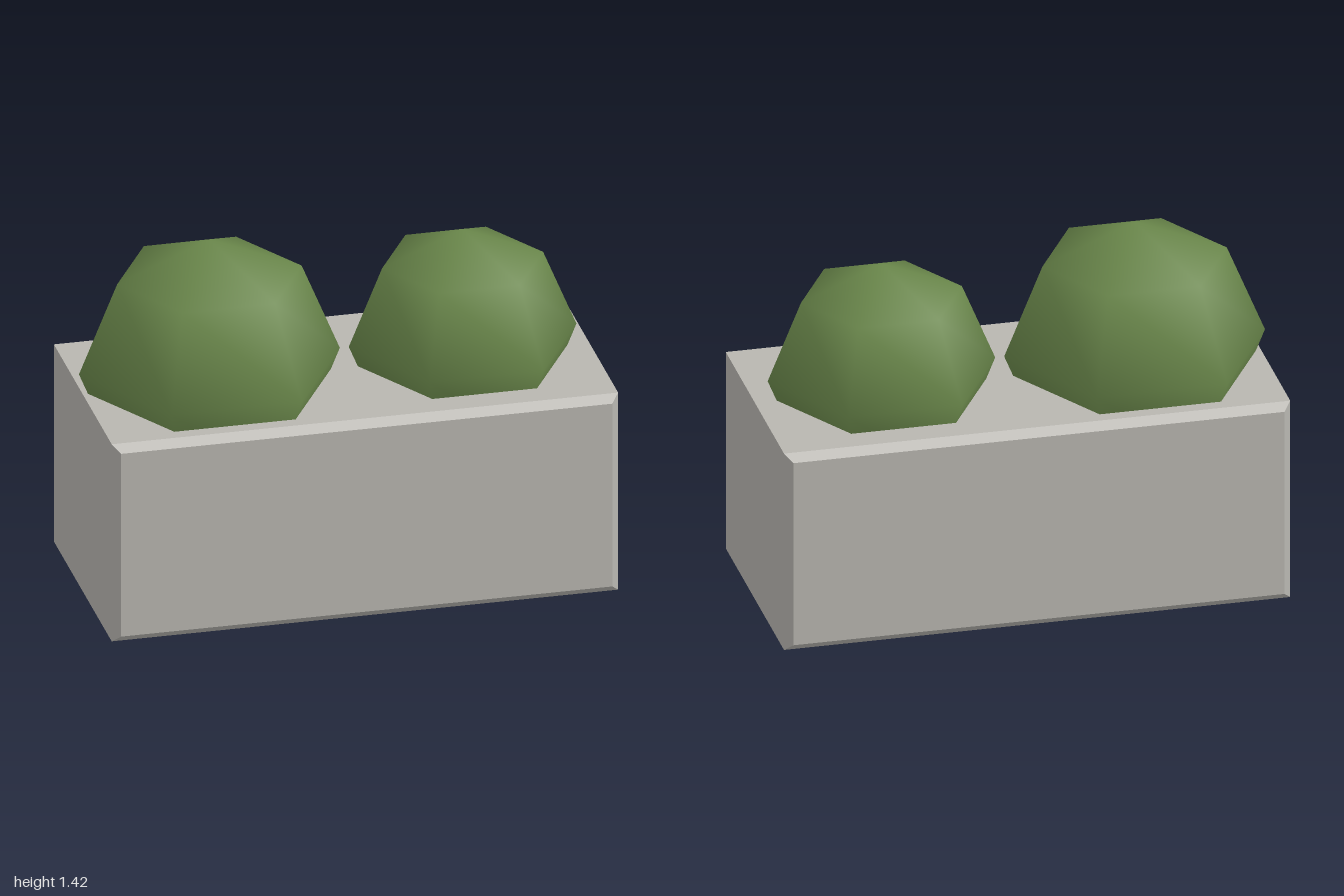
import * as THREE from 'three';

export function createModel() {
  const model = new THREE.Group();
  model.name = 'planter';

  const stone = new THREE.MeshStandardMaterial({ color: 0xb8b6b0 });
  stone.name = 'stone';
  const leaf = new THREE.MeshStandardMaterial({ color: 0x69864a });
  leaf.name = 'leaf';

  // Planter block: rectangle extruded along z, chamfered round the front and back
  const width = 1.98, height = 0.825, depth = 0.99, bevel = 0.03;
  const w = width / 2 - bevel;
  const outline = new THREE.Shape([
    new THREE.Vector2(-w, bevel),
    new THREE.Vector2(w, bevel),
    new THREE.Vector2(w, height - bevel),
    new THREE.Vector2(-w, height - bevel),
  ]);
  const blockGeometry = new THREE.ExtrudeGeometry(outline, {
    depth: depth - 2 * bevel,
    bevelEnabled: true,
    bevelThickness: bevel,
    bevelSize: bevel,
    bevelSegments: 1,
  });
  blockGeometry.translate(0.005, 0, -(depth / 2 - bevel));
  const block = new THREE.Mesh(blockGeometry, stone);
  block.name = 'planterBox';
  model.add(block);

  // Bushes: coarse smooth-shaded spheres sunk into the block
  const addBush = (name, x, radius) => {
    const bush = new THREE.Mesh(new THREE.SphereGeometry(radius, 6, 4), leaf);
    bush.name = name;
    bush.position.set(x, 0.91, 0);
    model.add(bush);
  };
  addBush('largeBush', -0.49, 0.51);
  addBush('smallBush', 0.5, 0.445);

  return model;
}
